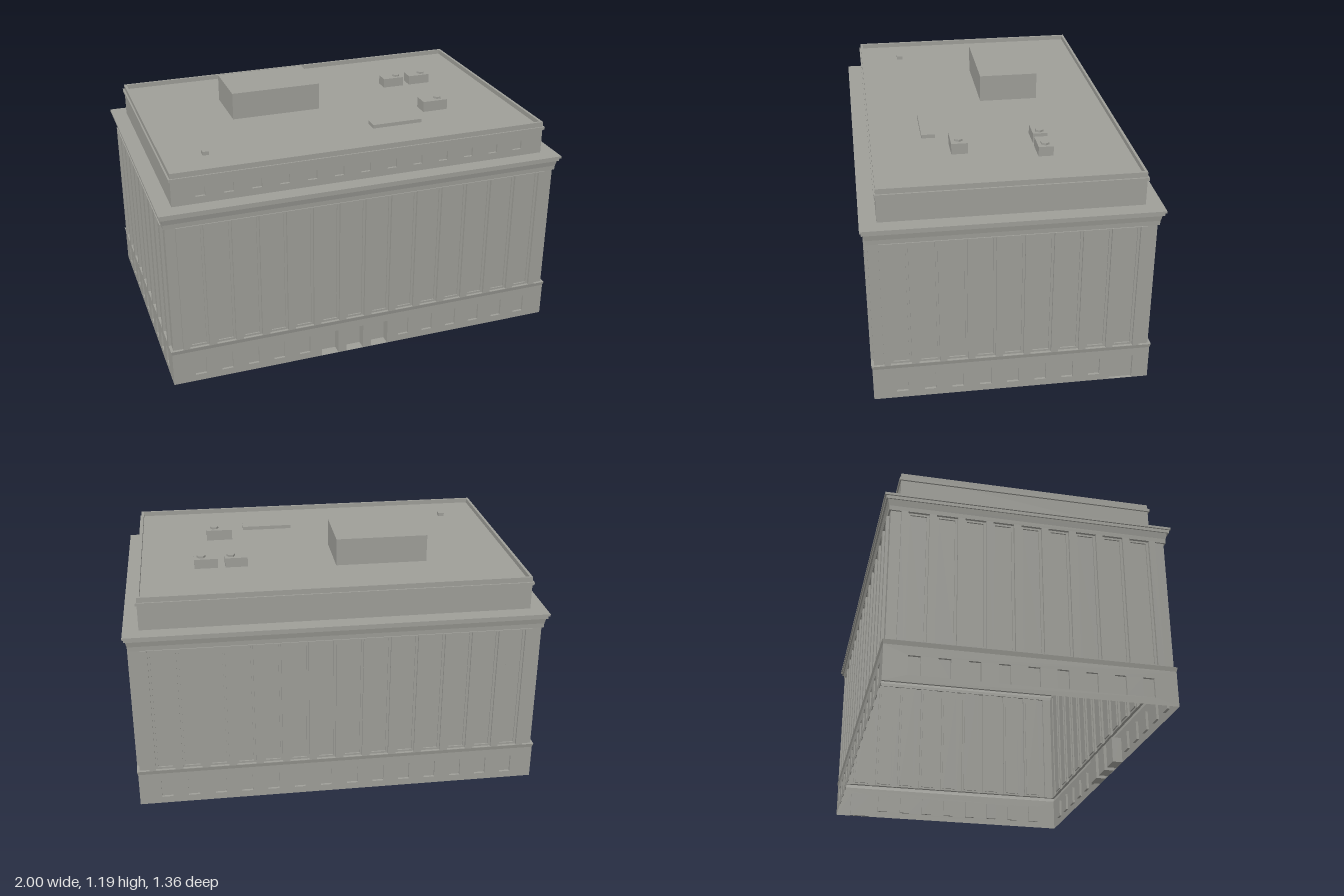
import * as THREE from 'three';
import { mergeGeometries } from 'three/addons/utils/BufferGeometryUtils.js';

const stone = new THREE.MeshStandardMaterial({ color: 0x9e9e98, side: THREE.DoubleSide });
stone.name = 'stone grey';

function part(name, geometries, parent) {
  const mesh = new THREE.Mesh(mergeGeometries(geometries.map(g => (g.index ? g.toNonIndexed() : g))), stone);
  mesh.name = name;
  parent.add(mesh);
}

// Stack of rectangular outlines [halfX, halfZ, y], joined from first to last
function loft(sections) {
  const corners = [[-1, 1], [1, 1], [1, -1], [-1, -1]];
  const pos = [];
  for (let i = 0; i < sections.length - 1; i++) {
    for (let k = 0; k < 4; k++) {
      const at = (s, c) => [corners[c % 4][0] * s[0], s[2], corners[c % 4][1] * s[1]];
      const a = at(sections[i], k), b = at(sections[i], k + 1);
      const c = at(sections[i + 1], k + 1), d = at(sections[i + 1], k);
      pos.push(...a, ...b, ...c, ...a, ...c, ...d);
    }
  }
  const g = new THREE.BufferGeometry();
  g.setAttribute('position', new THREE.Float32BufferAttribute(pos, 3));
  g.computeVertexNormals();
  return g;
}

// Flat wall panel facing +z; panel and openings are {x, y0, y1, w}
function pierced(panel, z, openings) {
  const rect = (P, o) => {
    const l = o.x - o.w / 2, r = o.x + o.w / 2;
    return new P().moveTo(l, o.y0).lineTo(r, o.y0).lineTo(r, o.y1).lineTo(l, o.y1).closePath();
  };
  const shape = rect(THREE.Shape, panel);
  for (const o of openings) shape.holes.push(rect(THREE.Path, o));
  return new THREE.ShapeGeometry(shape).translate(0, 0, z);
}

// The four edges of a rectangle extruded back from z, facing outward
function rim(o, z, depth) {
  const g = new THREE.BoxGeometry(o.w, o.y1 - o.y0, depth);
  g.setIndex(Array.from(g.index.array.slice(0, 24)));
  return g.translate(o.x, (o.y0 + o.y1) / 2, z - depth / 2);
}

// Reveals behind an opening, facing inward
function reveal(o, z, depth) {
  const g = rim(o, z, depth);
  const idx = Array.from(g.index.array);
  for (let i = 0; i < idx.length; i += 3) [idx[i + 1], idx[i + 2]] = [idx[i + 2], idx[i + 1]];
  g.setIndex(idx);
  const n = g.attributes.normal;
  for (let i = 0; i < n.array.length; i++) n.array[i] *= -1;
  return g;
}

// Recess with a back plate
const niche = (o, z, depth) => [reveal(o, z, depth), pierced(o, z - depth, [])];

function box(x0, x1, y0, y1, z0, z1) {
  return new THREE.BoxGeometry(x1 - x0, y1 - y0, z1 - z0)
    .translate((x0 + x1) / 2, (y0 + y1) / 2, (z0 + z1) / 2);
}

// One facade, built facing +z: half = half its length, face = distance from the centre
function facade({ name, half, face, bays, bayWidth, doors, doorWidth, doorDepth, attic, turn }) {
  const side = new THREE.Group();
  side.name = name;
  const centres = Array.from({ length: bays }, (_, i) => (i - (bays - 1) / 2) * 0.1302);

  // Ground floor with windows and doors
  const openings = centres.map((x, i) => doors.includes(i)
    ? { x, y0: 0.0005, y1: 0.13, w: doorWidth, depth: doorDepth }
    : { x, y0: 0.034, y1: 0.125, w: 0.054, depth: 0.012 });
  part('groundFloorWall', [pierced({ x: 0, y0: 0, y1: 0.168, w: half * 2 }, face, openings)], side);
  part('groundFloorOpenings', openings.flatMap(o => niche(o, face, o.depth)), side);

  // Projecting pilaster frame
  const front = face + 0.005, back = face - 0.008;
  const frame = { x: 0, y0: 0.188, y1: 0.833, w: (half - 0.055) * 2 };
  const tall = centres.map(x => ({ x, y0: 0.19, y1: 0.831, w: bayWidth }));
  part('pilasters', [pierced(frame, front, tall), rim(frame, front, front - back)], side);

  // Double-stepped panels between the pilasters
  const panels = tall.flatMap(o => {
    const inner = { x: o.x, y0: 0.2, y1: 0.822, w: o.w - 0.022 };
    return [reveal(o, front, front - back), pierced(o, back, [inner]), ...niche(inner, back, 0.007)];
  });
  part('bayPanels', panels, side);

  // Set-back corners
  part('corners', [-1, 1].map(s =>
    pierced({ x: s * (half - 0.0315), y0: 0.188, y1: 0.833, w: 0.047 }, back, [])), side);

  // Attic storey
  const atticFace = face - 0.055;
  const small = Array.from({ length: attic }, (_, i) => ({ x: (i - 6) * 0.132, y0: 0.945, y1: 0.99, w: 0.046 }));
  part('atticWall', [pierced({ x: 0, y0: 0.911, y1: 1.073, w: (half - 0.055) * 2 }, atticFace, small)], side);
  if (attic) part('atticWindows', small.flatMap(o => niche(o, atticFace, 0.012)), side);

  side.rotation.y = turn;
  return side;
}

export function createModel() {
  const model = new THREE.Group();
  model.name = 'building';

  // Four facades
  const long = { half: 0.98, face: 0.655, bays: 14, bayWidth: 0.093, doorWidth: 0.088, doorDepth: 0.05 };
  const short = { half: 0.655, face: 0.98, bays: 9, bayWidth: 0.097, doorWidth: 0.112, doorDepth: 0.014, attic: 0 };
  model.add(
    facade({ ...long, name: 'frontFacade', doors: [5, 6, 7], attic: 13, turn: 0 }),
    facade({ ...long, name: 'backFacade', doors: [], attic: 0, turn: Math.PI }),
    facade({ ...short, name: 'leftFacade', doors: [8], turn: Math.PI / 2 }),
    facade({ ...short, name: 'rightFacade', doors: [], turn: -Math.PI / 2 }),
  );

  // Mouldings, ceiling and roof
  part('plinthTop', [loft([[0.98, 0.655, 0.168], [0.985, 0.66, 0.188], [0.972, 0.647, 0.188]])], model);
  part('mainCornice', [loft([
    [0.972, 0.647, 0.833], [0.98, 0.655, 0.833], [0.981, 0.656, 0.855], [0.987, 0.663, 0.885],
    [0.993, 0.671, 0.885], [0.993, 0.671, 0.9], [1, 0.678, 0.9], [1, 0.678, 0.911], [0.925, 0.6, 0.911],
  ])], model);
  part('ceiling', [loft([[0, 0, 0.87], [0.984, 0.659, 0.87]])], model);
  part('atticBand', [loft([
    [0.925, 0.6, 1.034], [0.933, 0.607, 1.034], [0.933, 0.607, 1.048], [0.925, 0.6, 1.048],
  ])], model);
  part('parapetAndRoof', [loft([
    [0.925, 0.6, 1.073], [0.912, 0.588, 1.073], [0.912, 0.588, 1.05], [0, 0, 1.05],
  ])], model);

  // Rooftop structures
  const roof = 1.05;
  part('penthouse', [box(-0.485, -0.035, roof, 1.185, -0.274, 0.017)], model);
  part('roofSlab', [box(0.13, 0.385, roof, 1.068, 0.29, 0.356)], model);
  part('roofVent', [box(-0.73, -0.7, roof, 1.068, 0.372, 0.402)], model);
  const units = [
    [0.395, 0.505, -0.23, -0.16, 1.097, 0.475],
    [0.54, 0.655, -0.23, -0.16, 1.097, 0.62],
    [0.45, 0.58, 0.157, 0.234, 1.103, 0.54],
  ];
  for (const [x0, x1, z0, z1, top, fanX] of units) {
    part('coolingUnit', [box(x0, x1, roof, top, z0, z1)], model);
    const fan = new THREE.CylinderGeometry(0.021, 0.021, 0.01, 6).rotateY(Math.PI / 6).toNonIndexed();
    fan.computeVertexNormals();
    part('coolingFan', [fan.translate(fanX, top + 0.005, (z0 + z1) / 2)], model);
  }
  return model;
}
